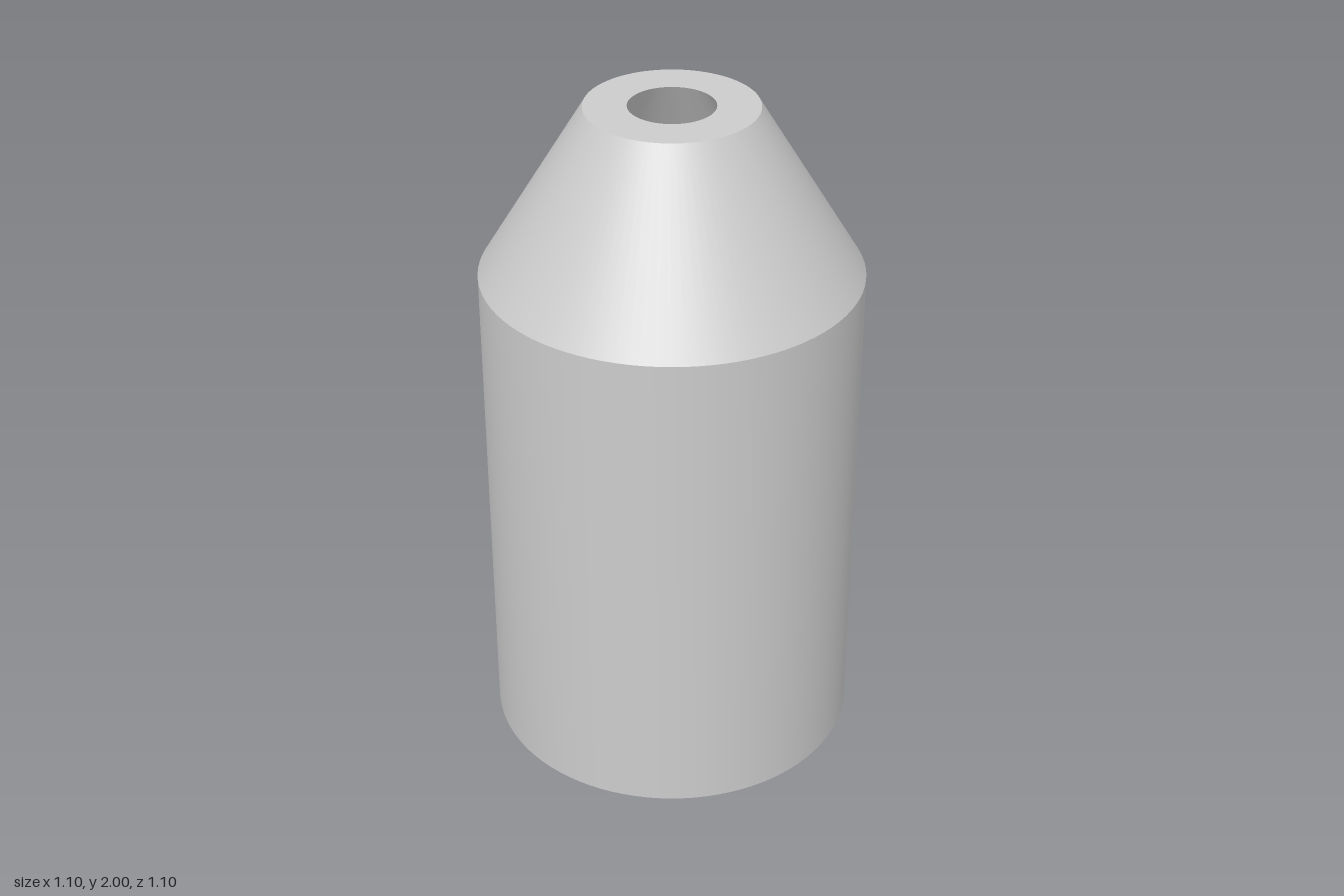
import * as THREE from 'three';
import { toCreasedNormals } from 'three/addons/utils/BufferGeometryUtils.js';

const SEGMENTS = 96;

// Revolve a [radius, height] profile, keeping its corners sharp
function turned(name, profile, material) {
  const points = profile.map(([r, y]) => new THREE.Vector2(r, y));
  const geometry = toCreasedNormals(new THREE.LatheGeometry(points, SEGMENTS), 0.4);
  const mesh = new THREE.Mesh(geometry, material);
  mesh.name = name;
  return mesh;
}

export function createModel() {
  const group = new THREE.Group();
  group.name = 'hollowNozzle';
  const material = new THREE.MeshStandardMaterial({ color: 0xcccccc });

  // Outer skin: base ring, straight body, tapered shoulder, top rim
  group.add(turned('outerShell', [
    [0.26, 0], [0.55, 0], [0.55, 1.5], [0.245, 2], [0.123, 2],
  ], material));

  // Inner skin: tapered throat, wide cavity, floor, round base opening
  group.add(turned('innerCavity', [
    [0.123, 2], [0.428, 1.5], [0.428, 0.147], [0.26, 0.147], [0.26, 0],
  ], material));

  return group;
}
